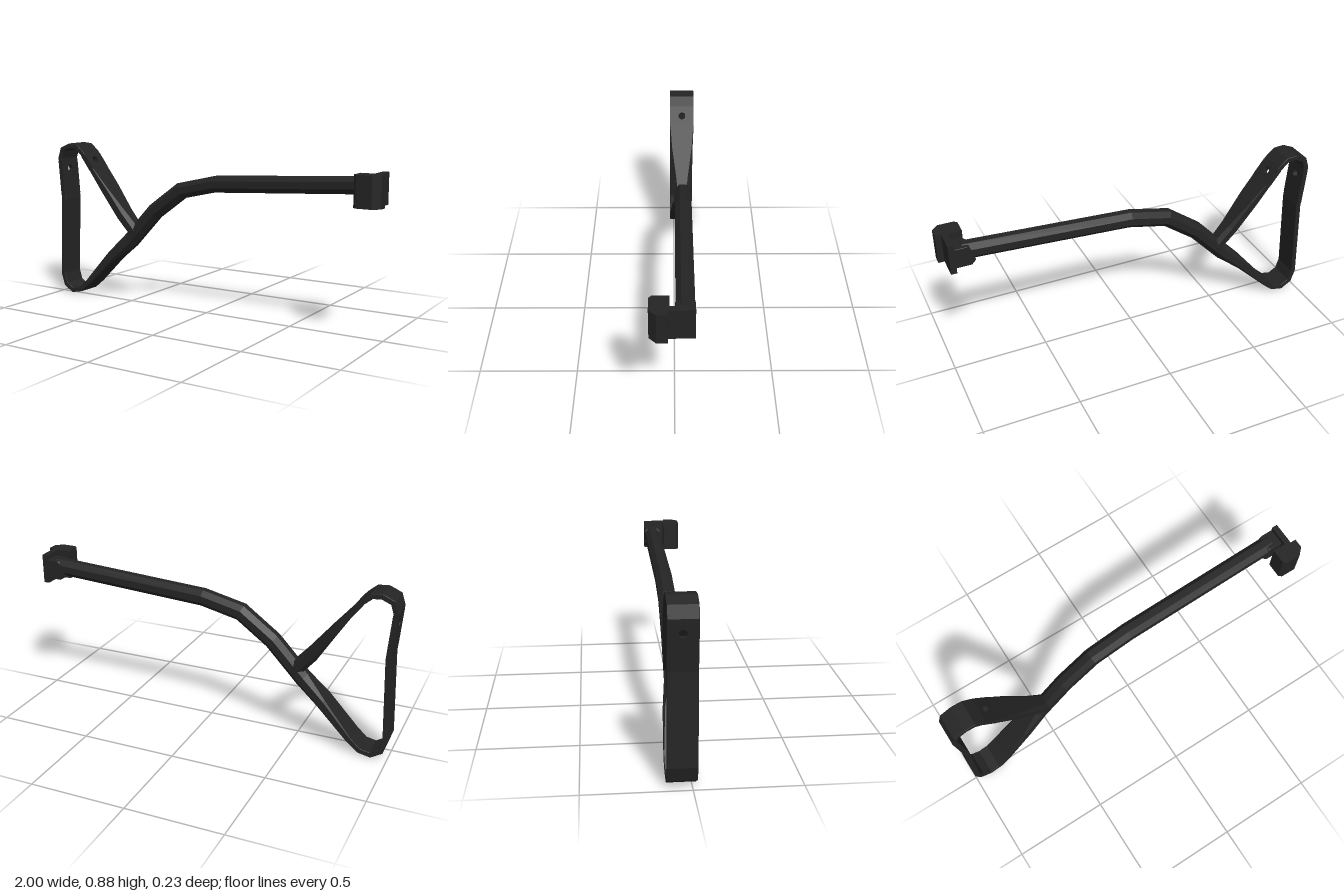
import * as THREE from 'three';

const Z0 = -0.046; // centre plane of rod and strap
const black = new THREE.MeshStandardMaterial({ color: 0x242424, flatShading: true });
black.name = 'matte black';

// Sweeps a chamfered rectangle along stations [x, y, halfThickness, halfWidth, chamfer] with mitred bends
function sweep(name, stations) {
  const pos = [], index = [];
  const pts = stations.map(s => new THREE.Vector2(s[0], s[1]));
  stations.forEach(([x, y, t, w, c], i) => {
    const a = pts[i].clone().sub(pts[Math.max(i - 1, 0)]).normalize();
    const b = pts[Math.min(i + 1, pts.length - 1)].clone().sub(pts[i]).normalize();
    const dir = a.clone().add(b).normalize();
    const mitre = 1 / dir.dot(i ? a : b);
    const ring = [[t, -w + c], [t, w - c], [t - c, w], [-t + c, w],
      [-t, w - c], [-t, -w + c], [-t + c, -w], [t - c, -w]];
    for (const [n, z] of ring) pos.push(x - dir.y * n * mitre, y + dir.x * n * mitre, Z0 + z);
  });
  const last = (stations.length - 1) * 8;
  for (let r = 0; r < last; r += 8) {
    for (let j = 0; j < 8; j++) {
      const k = (j + 1) % 8;
      index.push(r + j, r + k, r + 8 + k, r + j, r + 8 + k, r + 8 + j);
    }
  }
  for (let j = 1; j < 7; j++) index.push(0, j + 1, j, last, last + j, last + j + 1);
  const g = new THREE.BufferGeometry();
  g.setAttribute('position', new THREE.Float32BufferAttribute(pos, 3));
  g.setIndex(index);
  const flat = g.toNonIndexed();
  flat.computeVertexNormals();
  const m = new THREE.Mesh(flat, black);
  m.name = name;
  return m;
}

// Flat strap piece from a to b with a round hole through it
function drilledPlate(name, a, b, t, w, holeAt) {
  const A = new THREE.Vector3(a[0], a[1], Z0), B = new THREE.Vector3(b[0], b[1], Z0);
  const d = B.clone().sub(A), len = d.length();
  d.normalize();
  const shape = new THREE.Shape([[-w, 0], [w, 0], [w, len], [-w, len]].map(p => new THREE.Vector2(...p)));
  const hole = new THREE.Path();
  hole.absarc(0, len * holeAt, 0.02, 0, Math.PI * 2, true);
  shape.holes.push(hole);
  const g = new THREE.ExtrudeGeometry(shape, { depth: 2 * t, bevelEnabled: false, curveSegments: 6 });
  g.translate(0, 0, -t);
  const zAxis = new THREE.Vector3(0, 0, 1);
  g.applyMatrix4(new THREE.Matrix4().makeBasis(zAxis, d, zAxis.clone().cross(d)).setPosition(A));
  const m = new THREE.Mesh(g, black);
  m.name = name;
  return m;
}

export function createModel() {
  const model = new THREE.Group();
  model.name = 'wireStock';
  const R = 0.043, C = 0.025, T = 0.013, W = 0.069, E = 0.002;

  // Bent rod
  model.add(sweep('rod', [
    [0.9, 0.746, R, R, C], [0.027, 0.695, R, R, C], [-0.185, 0.647, R, R, C],
    [-0.36, 0.52, R, R, C], [-0.535, 0.335, R, R, C],
  ]));

  // Lower strap, widening from the rod and turning up the butt
  model.add(sweep('lowerStrap', [
    [-0.525, 0.345, R, R, C], [-0.64, 0.243, 0.028, 0.059, 0.01], [-0.8, 0.075, 0.015, W, E],
    [-0.855, 0.027, T, W, E], [-0.915, 0.0145, T, W, E], [-0.966, 0.046, T, W, E],
    [-0.985, 0.11, T, W, E], [-0.966, 0.55, T, W, E], [-0.968, 0.575, T, W, E],
  ]));

  // Upper part of the butt with its hole
  model.add(drilledPlate('buttPlate', [-0.968, 0.575], [-0.984, 0.775], T, W, 0.75));

  // Rounded top corner
  model.add(sweep('topCorner', [
    [-0.984, 0.775, T, W, E], [-0.985, 0.79, T, W, E], [-0.968, 0.84, T, W, E],
    [-0.915, 0.863, T, W, E], [-0.865, 0.859, T, W, E], [-0.822, 0.822, T, W, E], [-0.813, 0.81, T, W, E],
  ]));

  // Upper strap: drilled piece, then a taper down to the rod
  model.add(drilledPlate('upperPlate', [-0.813, 0.81], [-0.755, 0.733], 0.014, W - 0.001, 0.4));
  model.add(sweep('upperStrap', [
    [-0.757, 0.7355, 0.014, 0.068, E], [-0.68, 0.632, 0.023, 0.062, 0.006],
    [-0.575, 0.487, 0.035, 0.05, 0.018], [-0.485, 0.385, 0.037, R, 0.022],
  ]));

  // Collar where the rod meets the clamp
  model.add(sweep('collar', [
    [0.95, 0.732, 0.052, 0.044, E], [0.872, 0.732, 0.052, 0.044, E], [0.853, 0.738, 0.045, R, 0.012],
  ]));

  // Clamp block with end plate and hooked front
  const outline = [[0.97, -0.09], [0.97, 0.03], [1, 0.03], [1, 0.08], [0.965, 0.114],
    [0.885, 0.114], [0.87, 0.1], [0.87, 0.022], [0.94, 0.022], [0.94, -0.09]];
  const g = new THREE.ExtrudeGeometry(
    new THREE.Shape(outline.map(([x, z]) => new THREE.Vector2(x, -z))), { depth: 0.158, bevelEnabled: false });
  g.rotateX(-Math.PI / 2);
  g.translate(0, 0.652, 0);
  const clamp = new THREE.Mesh(g, black);
  clamp.name = 'clamp';
  model.add(clamp);

  return model;
}
